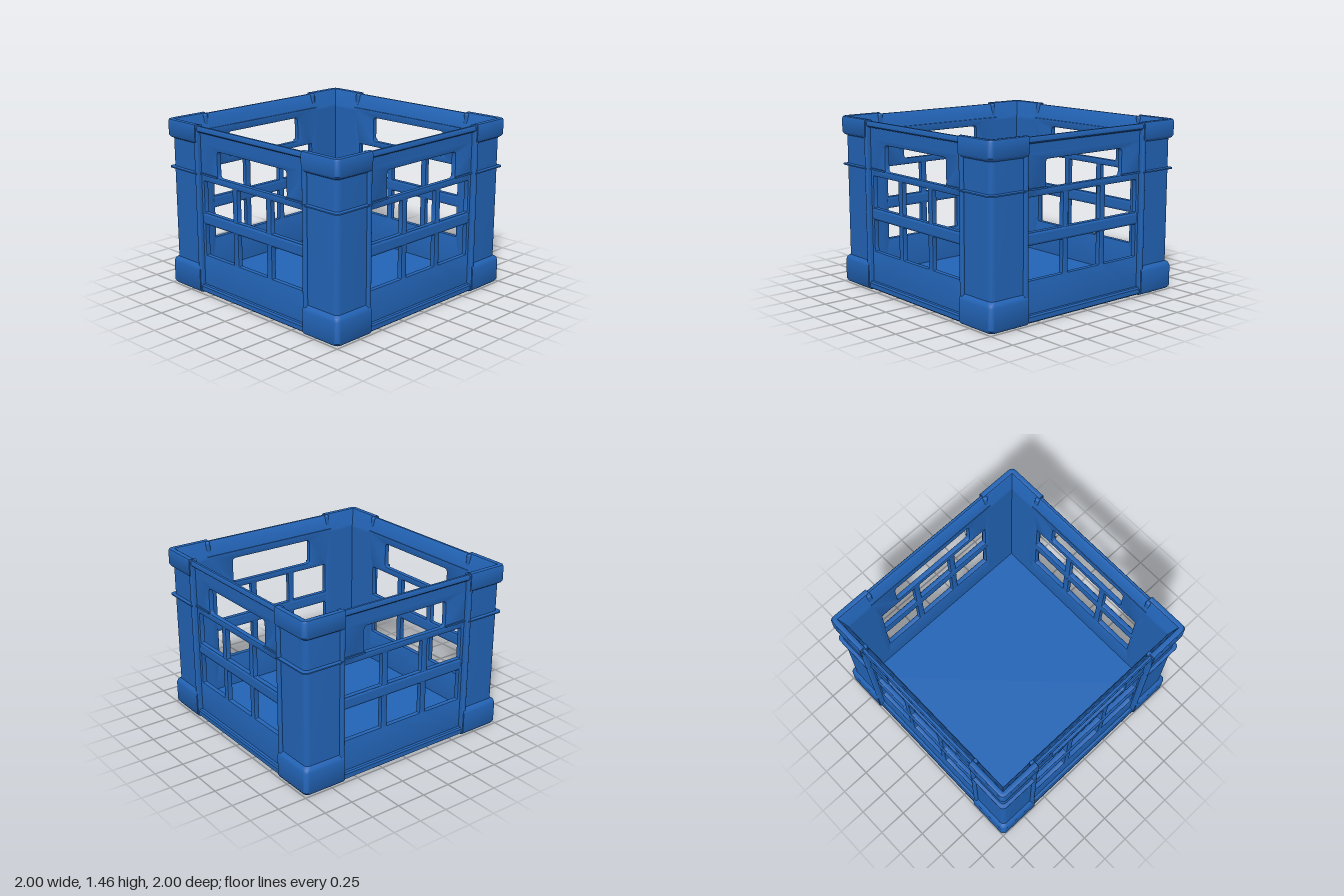
import * as THREE from 'three';
import { toCreasedNormals } from 'three/addons/utils/BufferGeometryUtils.js';
import { RoundedBoxGeometry } from 'three/addons/geometries/RoundedBoxGeometry.js';

const INNER = 0.905;   // inside face of the walls
const PANEL = 0.95;    // outside face of the recessed panels
const COLUMN = 0.97;   // outside face of the corner columns

const plastic = new THREE.MeshStandardMaterial({ color: 0x2263b5 });
plastic.name = 'blue plastic';

function part(name, geometry, parent, x = 0, y = 0, z = 0) {
  const mesh = new THREE.Mesh(geometry, plastic);
  mesh.name = name;
  mesh.position.set(x, y, z);
  parent.add(mesh);
  return mesh;
}

// Rounded rectangle traced into a path, used for the openings
function opening(x0, x1, y0, y1, r) {
  const p = new THREE.Path();
  p.moveTo(x0 + r, y0);
  p.lineTo(x1 - r, y0);
  p.quadraticCurveTo(x1, y0, x1, y0 + r);
  p.lineTo(x1, y1 - r);
  p.quadraticCurveTo(x1, y1, x1 - r, y1);
  p.lineTo(x0 + r, y1);
  p.quadraticCurveTo(x0, y1, x0, y1 - r);
  p.lineTo(x0, y0 + r);
  p.quadraticCurveTo(x0, y0, x0 + r, y0);
  return p;
}

// Wall panel with a hand hold and a two by three grid of windows
function panelGeometry() {
  const s = new THREE.Shape();
  s.moveTo(-0.66, 0.02);
  s.lineTo(0.66, 0.02);
  s.lineTo(0.66, 1.32);
  s.lineTo(-0.66, 1.32);
  s.closePath();
  s.holes.push(opening(-0.41, 0.41, 1.035, 1.255, 0.03));
  for (const [x0, x1] of [[-0.588, -0.23], [-0.172, 0.172], [0.23, 0.588]]) {
    for (const [y0, y1] of [[0.335, 0.607], [0.71, 0.98]]) {
      s.holes.push(opening(x0, x1, y0, y1, 0.006));
    }
  }
  const bevel = 0.008;
  const g = new THREE.ExtrudeGeometry(s, {
    depth: PANEL - INNER - 2 * bevel, curveSegments: 4, bevelEnabled: true,
    bevelThickness: bevel, bevelSize: bevel, bevelOffset: -bevel, bevelSegments: 2,
  });
  g.translate(0, 0, INNER + bevel);
  return toCreasedNormals(g, 0.6);
}

// Square ring swept from a closed (half width, height) profile
function squareRing(profile) {
  const pts = [...profile, profile[0]].map(([r, y]) => new THREE.Vector2(r * Math.SQRT2, y));
  return toCreasedNormals(new THREE.LatheGeometry(pts, 4, Math.PI / 4), 0.6);
}

// L-shaped corner column lofted through levels of [height, outer face, inner face]
function cornerGeometry() {
  const levels = [
    [0, 0.97, INNER], [0.008, 0.987, INNER], [0.03, 1, INNER], [0.2, 1, INNER], [0.225, 0.992, INNER],
    [0.245, COLUMN, INNER], [1.03, COLUMN, INNER], [1.035, 0.998, INNER], [1.045, 0.998, INNER],
    [1.05, COLUMN, INNER], [1.29, COLUMN, INNER], [1.302, 0.99, INNER], [1.32, 1, 0.912],
    [1.435, 1, 0.945], [1.45, 0.994, 0.953], [1.455, 0.982, 0.965],
  ];
  const start = 0.625, radius = 0.04, steps = 6;
  const positions = [], index = [];
  let n = 0;
  for (const [y, o, i] of levels) {
    const loop = [[start, o]];
    for (let k = 0; k <= steps; k++) {
      const a = (k / steps) * Math.PI / 2;
      loop.push([o - radius + radius * Math.sin(a), o - radius + radius * Math.cos(a)]);
    }
    loop.push([o, start], [i, start], [i, i], [start, i]);
    n = loop.length;
    for (const [x, z] of loop) positions.push(x, y, z);
  }
  for (let l = 0; l < levels.length - 1; l++) {
    for (let j = 0; j < n; j++) {
      const a = l * n + j, b = l * n + (j + 1) % n;
      index.push(a, b, b + n, a, b + n, a + n);
    }
  }
  // Ends closed with a fan from the inner corner
  const hub = n - 2, top = (levels.length - 1) * n;
  for (let j = 0; j < n; j++) {
    const k = (j + 1) % n;
    if (j === hub || k === hub) continue;
    index.push(hub, k, j, top + hub, top + j, top + k);
  }
  const g = new THREE.BufferGeometry();
  g.setAttribute('position', new THREE.Float32BufferAttribute(positions, 3));
  g.setIndex(index);
  return toCreasedNormals(g, 0.6);
}

export function createModel() {
  const crate = new THREE.Group();
  crate.name = 'crate';

  part('floor', new THREE.BoxGeometry(1.92, 0.035, 1.92), crate, 0, 0.03, 0);

  // Rails running round the foot and the lip
  part('bottomRail', squareRing([
    [0.93, 0.008], [0.97, 0.008], [0.985, 0.02], [0.985, 0.058], [0.975, 0.072], [0.93, 0.072],
  ]), crate);
  part('topRim', squareRing([
    [INNER, 1.29], [PANEL, 1.29], [PANEL, 1.385], [0.972, 1.39], [0.985, 1.402],
    [0.985, 1.43], [0.978, 1.442], [0.958, 1.442], [0.945, 1.43], [0.912, 1.32],
  ]), crate);

  const panel = panelGeometry();
  const corner = cornerGeometry();
  const rib = new RoundedBoxGeometry(0.04, 1.443, 0.07, 3, 0.014);
  const ridge = new THREE.BoxGeometry(0.21, 0.014, 0.03);
  const bar = new RoundedBoxGeometry(1.22, 0.098, 0.055, 3, 0.02);

  // Four identical sides, each with the corner at its +x end
  for (let q = 0; q < 4; q++) {
    const side = new THREE.Group();
    side.name = ['front', 'left', 'back', 'right'][q] + 'Side';
    side.rotation.y = q * Math.PI / 2;
    crate.add(side);
    part('wallPanel', panel, side);
    part('cornerColumn', corner, side);
    part('gridBar', bar, side, 0, 0.658, 0.93);
    for (const s of [-1, 1]) {
      part('panelRib', rib, side, s * 0.636, 0.7255, 0.957);
      part('ridge', ridge, side, s * 0.515, 1.04, 0.947);
    }
  }
  return crate;
}
